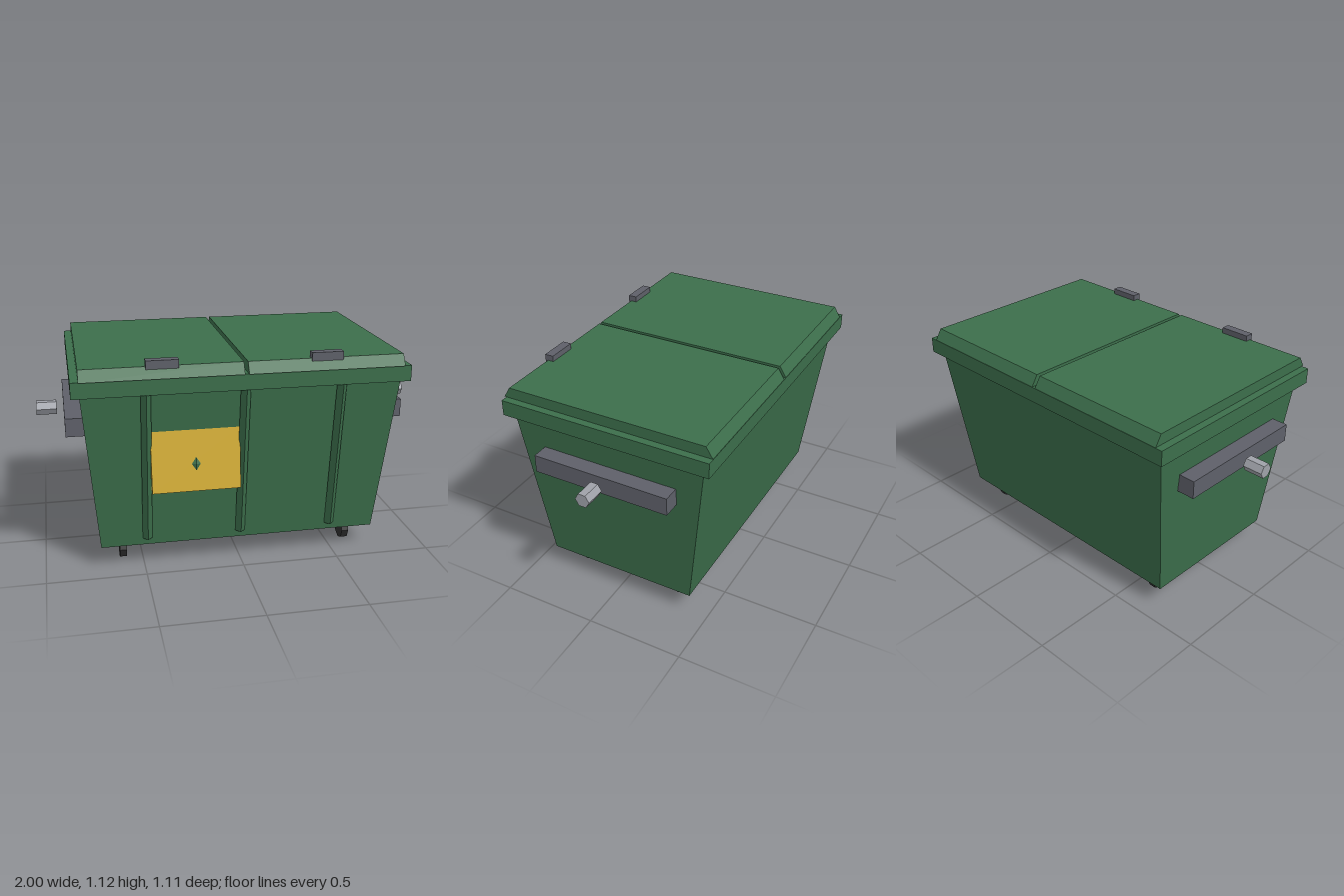
import * as THREE from 'three';

const mat = (name, color) => {
  const m = new THREE.MeshStandardMaterial({ color, flatShading: true });
  m.name = name;
  return m;
};

export function createModel() {
  const green = mat('binGreen', 0x3c6e4b);
  const yellow = mat('signYellow', 0xd6af37);
  const steel = mat('darkSteel', 0x5e6069);
  const pinSteel = mat('lightSteel', 0x9fa2a9);
  const rubber = mat('rubber', 0x2e2e2e);

  const model = new THREE.Group();
  model.name = 'wheeledBin';
  const zc = -0.007; // shared depth centre of the tub

  const add = (name, geometry, material, x = 0, y = 0, z = 0) => {
    const mesh = new THREE.Mesh(geometry, material);
    mesh.name = name;
    mesh.position.set(x, y, z);
    model.add(mesh);
    return mesh;
  };
  const box = (w, h, d) => new THREE.BoxGeometry(w, h, d);

  // Tub: a box that widens towards the top
  const tubH = 0.87;
  const tub = box(1, tubH, 1);
  const p = tub.attributes.position;
  for (let i = 0; i < p.count; i++) {
    const top = p.getY(i) > 0;
    p.setX(i, p.getX(i) * (top ? 1.585 : 1.436));
    p.setZ(i, p.getZ(i) * (top ? 1.025 : 0.8));
  }
  tub.computeVertexNormals();
  add('tub', tub, green, 0, 0.115 + tubH / 2, zc);

  // Rim around the top
  add('rim', box(1.656, 0.08, 1.102), green, -0.002, 0.993, zc);

  // Two lids with sloped front and back edges, and a grip on each
  const profile = new THREE.Shape([
    new THREE.Vector2(-0.556, 0), new THREE.Vector2(0.556, 0),
    new THREE.Vector2(0.522, 0.055), new THREE.Vector2(-0.522, 0.055),
  ]);
  for (const side of [-1, 1]) {
    const lid = new THREE.ExtrudeGeometry(profile, { depth: 0.78, bevelEnabled: false });
    lid.translate(0, 0, -0.39).rotateY(Math.PI / 2);
    const x = side * 0.4 - 0.002;
    add('lid', lid, green, x, 1.033, 0);
    add('lidGrip', box(0.156, 0.042, 0.046), steel, x, 1.097, 0.513);
  }

  // Ridged ribs leaning along the front wall
  const ridge = new THREE.Shape([
    new THREE.Vector2(-0.025, 0), new THREE.Vector2(0.025, 0), new THREE.Vector2(0, -0.03),
  ]);
  for (const x of [-0.482, -0.001, 0.479]) {
    const rib = new THREE.ExtrudeGeometry(ridge, { depth: 0.8, bevelEnabled: false });
    rib.rotateX(-Math.PI / 2);
    const r = rib.attributes.position;
    for (let i = 0; i < r.count; i++) r.setZ(i, r.getZ(i) + r.getY(i) * 0.15);
    rib.computeVertexNormals();
    add('frontRib', rib, green, x, 0.155, 0.402);
  }

  // Tilted sign with a small faceted emblem
  const sign = add('sign', box(0.442, 0.314, 0.033), yellow, -0.241, 0.593, 0.4755);
  sign.rotation.x = -0.11;
  const gem = add('signEmblem', new THREE.OctahedronGeometry(1), green, -0.241, 0.577, 0.494);
  gem.scale.set(0.022, 0.034, 0.01);
  gem.rotation.x = -0.11;

  // Lifting bars and hexagonal pins on both ends
  for (const side of [-1, 1]) {
    add('liftingBar', box(0.1, 0.093, 0.72), steel, side * 0.811, 0.754, zc);
    const pin = new THREE.CylinderGeometry(0.038, 0.038, 0.104, 6);
    pin.rotateZ(Math.PI / 2);
    add('liftingPin', pin, pinSteel, side * 0.948, 0.754, zc);
  }

  // Casters
  for (const x of [-0.602, 0.598]) {
    for (const z of [0.273, -0.287]) {
      add('casterBracket', box(0.045, 0.04, 0.048), steel, x, 0.099, z);
      const wheel = new THREE.CylinderGeometry(0.063, 0.063, 0.036, 8);
      wheel.rotateZ(Math.PI / 2);
      add('wheel', wheel, rubber, x, 0.063, z);
    }
  }
  return model;
}
